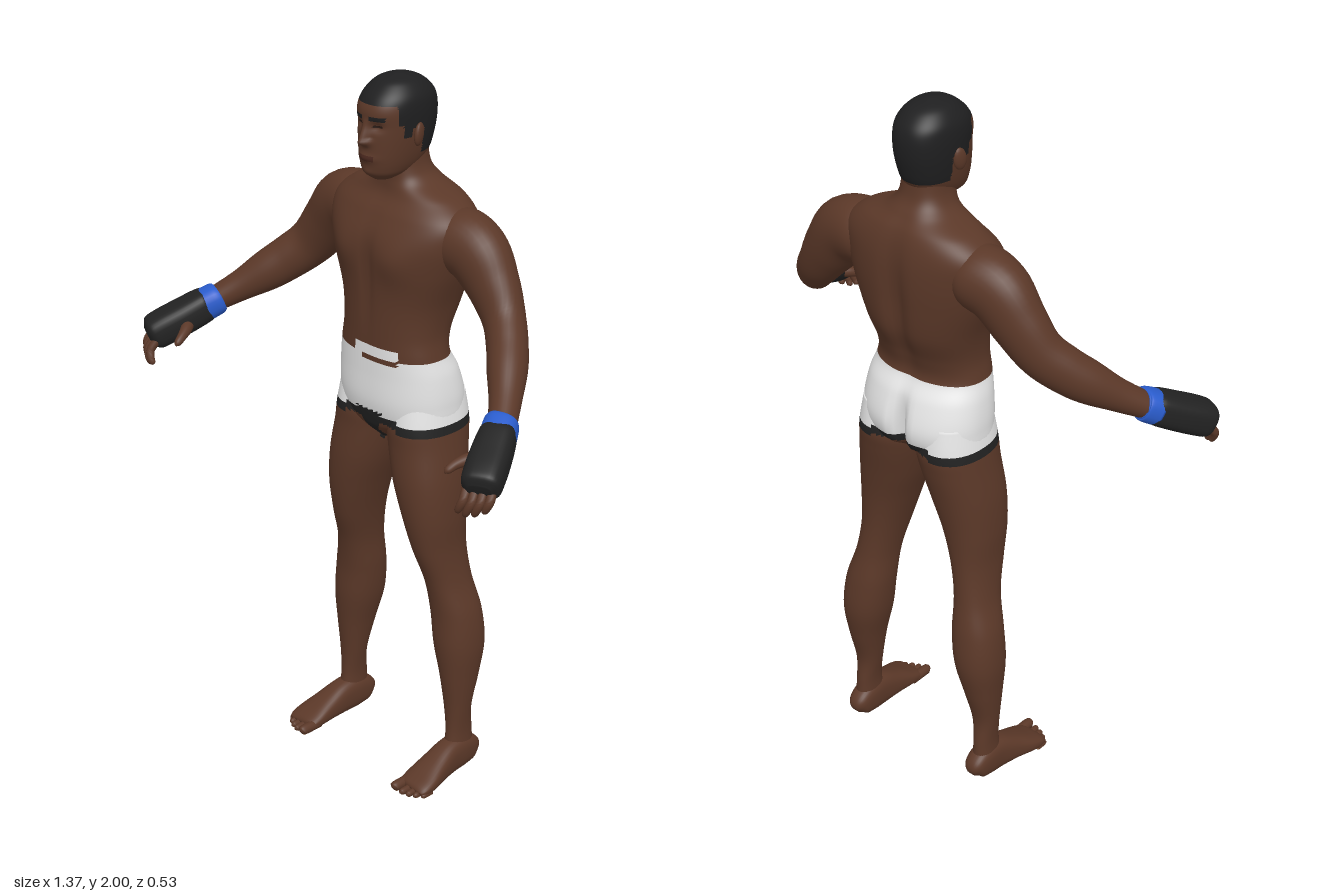
import * as THREE from 'three';

const mat = (name, color) => {
  const m = new THREE.MeshStandardMaterial({ color });
  m.name = name;
  return m;
};
const SKIN = 0, WHITE = 1, BLACK = 2, HAIR = 3, BLUE = 4, PALE = 5, EYE = 6, LIP = 7;
const bell = (v, w) => Math.exp(-((v / w) ** 2));

// Catmull-Rom through rows of numbers, `sub` steps per interval
function smoothRows(rows, sub) {
  const out = [], last = rows.length - 1;
  for (let i = 0; i < last; i++) {
    const [a, b, c, d] = [rows[Math.max(i - 1, 0)], rows[i], rows[i + 1], rows[Math.min(i + 2, last)]];
    for (let k = 0; k < sub; k++) {
      const t = k / sub;
      out.push(b.map((_, j) => b[j] + 0.5 * t * (c[j] - a[j] +
        t * (2 * a[j] - 5 * b[j] + 4 * c[j] - d[j] + t * (3 * (b[j] - c[j]) + d[j] - a[j])))));
    }
  }
  out.push(rows[last]);
  return out;
}

// Unit superellipse point
function oval(j, segs, n) {
  const a = (j / segs) * Math.PI * 2, f = v => Math.sign(v) * Math.abs(v) ** (2 / n);
  return [f(Math.cos(a)), f(Math.sin(a))];
}

// Skin rings with quads and end caps; paint(point) picks the colour of each face
function skinRings(rings, mats, { name, side = 1, paint = () => SKIN, shape }) {
  const segs = rings[0].length, pts = rings.flat();
  if (shape) pts.forEach(shape);
  const cap = ring => pts.push(ring.reduce((s, p) => s.add(p), new THREE.Vector3()).divideScalar(segs)) - 1;
  const buckets = {}, mid = new THREE.Vector3();
  const tri = (a, b, c) => {
    mid.copy(pts[a]).add(pts[b]).add(pts[c]).divideScalar(3);
    (buckets[paint(mid)] ??= []).push(...(side > 0 ? [a, b, c] : [a, c, b]));
  };
  const start = cap(rings[0]), end = cap(rings.at(-1)), top = (rings.length - 1) * segs;
  for (let j = 0; j < segs; j++) {
    const k = (j + 1) % segs;
    tri(start, j, k);
    tri(end, top + k, top + j);
    for (let i = 0; i < top; i += segs) {
      tri(i + j, i + segs + j, i + k);
      tri(i + k, i + segs + j, i + segs + k);
    }
  }
  const geo = new THREE.BufferGeometry(), index = [], used = [];
  for (const [id, list] of Object.entries(buckets)) {
    geo.addGroup(index.length, list.length, used.length);
    used.push(mats[id]);
    for (const v of list) index.push(v);
  }
  pts.forEach(p => { p.x *= side; });
  geo.setFromPoints(pts).setIndex(index);
  geo.computeVertexNormals();
  const mesh = new THREE.Mesh(geo, used);
  mesh.name = name;
  return mesh;
}

// Upright part: rows of [y, xMin, xMax, zFront, zBack]
function upright(rows, mats, o) {
  const { segs = 48, n = 2.2, sub = 8 } = o;
  const rings = smoothRows(rows, sub).map(([y, x0, x1, zf, zb]) => Array.from({ length: segs }, (_, j) => {
    const [c, s] = oval(j, segs, n);
    return new THREE.Vector3((x0 + x1) / 2 + c * (x1 - x0) / 2, y, (zf + zb) / 2 + s * (zf - zb) / 2);
  }));
  return skinRings(rings, mats, o);
}

// Part along a path: rows of [x, y, z, radiusUp, radiusSide]
function limb(rows, mats, o) {
  const { segs = 20, n = 2, sub = 6 } = o;
  const path = smoothRows(rows, sub), at = r => new THREE.Vector3(r[0], r[1], r[2]);
  const rings = path.map((r, i) => {
    const t = at(path[Math.min(i + 1, path.length - 1)]).sub(at(path[Math.max(i - 1, 0)])).normalize();
    const u = new THREE.Vector3(0, 1, 0).addScaledVector(t, -t.y).normalize();
    const v = u.clone().cross(t);
    return Array.from({ length: segs }, (_, j) => {
      const [c, s] = oval(j, segs, n);
      return at(r).addScaledVector(u, c * r[3]).addScaledVector(v, s * r[4]);
    });
  });
  return skinRings(rings, mats, o);
}

// Shorts: waistband with a notch, dark hem and front panel
function shorts(p) {
  const x = p.x, y = p.y, front = p.z > -0.09;
  const strip = front && x > -0.045 && x < 0.1;
  if (y > (strip ? 1.28 : 1.255)) return SKIN;
  if (strip && x > -0.02 && y > 1.238 && y < 1.255) return SKIN;
  if (front && Math.abs(x) < 0.022 + Math.max(0, y - 1.03) * 0.45 && y < 1.092) return BLACK;
  const hem = 1.045 + (Math.abs(x) < 0.1 ? 0.012 : 0);
  return y < hem ? SKIN : y < hem + 0.022 ? BLACK : WHITE;
}

// Chest, spine and seat modelling
function torsoShape(p) {
  const x = Math.abs(p.x);
  if (p.z > -0.1) {
    p.z += 0.014 * bell(x - 0.09, 0.06) * bell(p.y - 1.53, 0.055);
    p.z -= 0.01 * bell(x, 0.014) * bell(p.y - 1.48, 0.13);
  } else {
    p.z += 0.022 * bell(x, 0.03) * bell(p.y - 1.47, 0.17);
    p.z += 0.045 * bell(x, 0.018) * bell(p.y - 1.11, 0.075);
  }
}

// Hairline, brows, eyes and lips
function facePaint({ x, y, z }) {
  const ax = Math.abs(x);
  const line = z > -0.045 ? 1.938 : z > -0.06 ? 1.885 : z > -0.085 ? 1.85 : z > -0.125 ? 1.875 : 1.8;
  if (y > line) return HAIR;
  if (z < -0.04) return SKIN;
  if (ax > 0.013 && ax < 0.052 && Math.abs(y - 1.903) < 0.005) return HAIR;
  if (Math.abs(ax - 0.031) < 0.012 && Math.abs(y - 1.883) < 0.004) return EYE;
  return ax < 0.026 && Math.abs(y - 1.797) < 0.008 ? LIP : SKIN;
}
function faceShape(p) {
  if (p.z < -0.05) return;
  const ax = Math.abs(p.x), y = p.y;
  const ridge = y < 1.842 ? bell(y - 1.842, 0.01) : Math.max(0, 1 - (y - 1.842) / 0.06);
  p.z += 0.025 * bell(ax, y < 1.85 ? 0.016 : 0.011) * ridge;
  p.z -= 0.01 * bell(ax - 0.031, 0.016) * bell(y - 1.882, 0.012);
  p.z += 0.006 * bell(ax, 0.03) * bell(y - 1.797, 0.01) + 0.004 * bell(ax, 0.02) * bell(y - 1.757, 0.012);
}

export function createModel() {
  const mats = [mat('skin', 0x5b3828), mat('shortsWhite', 0xe6e6e6), mat('gloveBlack', 0x222222),
    mat('hairBlack', 0x1f1f20), mat('cuffBlue', 0x2a5ccc), mat('paleSkin', 0x94694a),
    mat('eyeDark', 0x2a1a14), mat('lips', 0x4a281e)];
  const model = new THREE.Group();
  model.name = 'fighter';
  const sym = rows => rows.map(([y, w, f, b]) => [y, -w, w, f, b]);

  model.add(upright(sym([[0.995, 0.025, -0.06, -0.16], [1.03, 0.1, -0.025, -0.21], [1.06, 0.175, -0.012, -0.25],
    [1.12, 0.185, 0, -0.265], [1.2, 0.178, 0, -0.243], [1.26, 0.164, 0, -0.213], [1.32, 0.157, 0, -0.225],
    [1.4, 0.17, 0, -0.258], [1.5, 0.205, 0.002, -0.27], [1.58, 0.225, 0, -0.272], [1.64, 0.225, -0.025, -0.265],
    [1.685, 0.175, -0.055, -0.25], [1.72, 0.095, -0.062, -0.225], [1.76, 0.066, -0.06, -0.2],
    [1.83, 0.06, -0.06, -0.19]]), mats,
  { name: 'torso', segs: 80, n: 2.3, paint: shorts, shape: torsoShape }));

  model.add(upright(sym([[1.733, 0.025, -0.03, -0.1], [1.75, 0.05, -0.008, -0.14], [1.77, 0.062, 0, -0.175],
    [1.8, 0.071, 0.004, -0.2], [1.84, 0.078, 0.004, -0.213], [1.88, 0.082, 0.003, -0.22],
    [1.92, 0.083, 0.004, -0.22], [1.95, 0.078, -0.01, -0.21], [1.975, 0.062, -0.035, -0.187],
    [1.99, 0.042, -0.06, -0.16], [2, 0.008, -0.1, -0.12]]), mats,
  { name: 'head', segs: 112, n: 2.2, sub: 7, paint: facePaint, shape: faceShape }));

  for (const side of [1, -1]) {
    const half = new THREE.Group();
    half.name = side > 0 ? 'leftSide' : 'rightSide';
    model.add(half);
    const addLimb = (name, rows, o = {}) => half.add(limb(rows, mats, { name, side, ...o }));

    // Leg
    half.add(upright([[0.05, 0.187, 0.25, -0.1, -0.2], [0.12, 0.19, 0.245, -0.11, -0.195],
      [0.2, 0.18, 0.25, -0.11, -0.19], [0.3, 0.162, 0.26, -0.1, -0.215], [0.4, 0.137, 0.268, -0.09, -0.235],
      [0.5, 0.125, 0.258, -0.088, -0.23], [0.6, 0.12, 0.23, -0.072, -0.212], [0.7, 0.1, 0.218, -0.04, -0.205],
      [0.8, 0.07, 0.22, -0.02, -0.21], [0.9, 0.035, 0.215, -0.012, -0.225], [1, 0.01, 0.2, -0.015, -0.245],
      [1.06, 0.005, 0.191, -0.015, -0.253], [1.14, 0.02, 0.178, -0.03, -0.24]], mats,
    { name: 'leg', side, segs: 40, paint: shorts }));

    // Foot and toes, paler underneath
    const sole = { paint: p => (p.y < 0.006 ? PALE : SKIN), shape: p => { p.y = Math.max(p.y, 0); } };
    addLimb('foot', [[0.217, 0.03, -0.216, 0.012, 0.012], [0.217, 0.04, -0.2, 0.036, 0.03],
      [0.218, 0.05, -0.16, 0.05, 0.036], [0.22, 0.048, -0.11, 0.05, 0.038], [0.225, 0.036, -0.05, 0.037, 0.045],
      [0.23, 0.024, 0, 0.025, 0.052], [0.232, 0.016, 0.035, 0.016, 0.05], [0.232, 0.012, 0.045, 0.006, 0.04]],
    { n: 2.6, segs: 32, ...sole });
    for (let i = 0; i < 5; i++) {
      const r = i ? 0.0105 - i * 0.0005 : 0.015, x = [0.194, 0.221, 0.241, 0.259, 0.275][i];
      const tip = [0.08, 0.078, 0.072, 0.062, 0.047][i];
      addLimb('toe', [[x, r, 0.01, r, r], [x, r, tip - 0.014, r, r], [x, r * 0.9, tip - 0.004, r * 0.75, r * 0.75],
        [x, r * 0.8, tip, r * 0.2, r * 0.2]], { segs: 12, ...sole });
    }

    // Arm
    addLimb('arm', [[0.13, 1.59, -0.155, 0.06, 0.06], [0.18, 1.59, -0.155, 0.085, 0.085],
      [0.25, 1.567, -0.155, 0.09, 0.078], [0.31, 1.5, -0.152, 0.078, 0.066], [0.365, 1.43, -0.137, 0.066, 0.056],
      [0.415, 1.38, -0.1, 0.062, 0.054], [0.46, 1.338, -0.055, 0.057, 0.052], [0.51, 1.293, 0.002, 0.043, 0.042],
      [0.56, 1.25, 0.065, 0.034, 0.036]], { segs: 32 });

    // Cuff and glove
    addLimb('cuff', [[0.546, 1.262, 0.048, 0.036, 0.038], [0.55, 1.258, 0.056, 0.043, 0.045],
      [0.57, 1.24, 0.088, 0.045, 0.047]], { segs: 28, n: 2.4, paint: () => BLUE });
    addLimb('glove', [[0.563, 1.246, 0.078, 0.038, 0.04], [0.568, 1.242, 0.086, 0.045, 0.047],
      [0.597, 1.213, 0.14, 0.047, 0.052], [0.625, 1.186, 0.192, 0.047, 0.052],
      [0.638, 1.172, 0.216, 0.042, 0.048], [0.644, 1.166, 0.227, 0.02, 0.03]],
    { segs: 32, n: 2.9, paint: () => BLACK });

    // Curled fingers and thumb
    for (let i = 0; i < 4; i++) {
      const k = (i - 1.5) * 0.022, len = [0.8, 0.95, 1, 0.9][i];
      const q = (dx, dy, dz, r) => [0.632 - 0.87 * k + dx * len, 1.165 + dy * len, 0.212 + 0.48 * k + dz * len, r, r];
      addLimb('finger', [q(0, 0, 0, 0.012), q(0.008, -0.028, 0.02, 0.012), q(0, -0.052, 0.027, 0.0105),
        q(-0.008, -0.066, 0.026, 0.008), q(-0.01, -0.07, 0.025, 0.002)], { segs: 12 });
    }
    addLimb('thumb', [[0.58, 1.205, 0.135, 0.02, 0.02], [0.55, 1.2, 0.165, 0.017, 0.017],
      [0.533, 1.19, 0.195, 0.013, 0.013], [0.526, 1.178, 0.217, 0.01, 0.01], [0.524, 1.172, 0.225, 0.002, 0.002]],
    { segs: 14 });

    // Ear
    const ear = new THREE.Mesh(new THREE.SphereGeometry(1, 16, 12), mats[SKIN]);
    ear.name = 'ear';
    ear.scale.set(0.01, 0.031, 0.019);
    ear.position.set(side * 0.083, 1.856, -0.105);
    ear.rotation.set(-0.15, side * 0.3, 0);
    half.add(ear);
  }
  return model;
}
